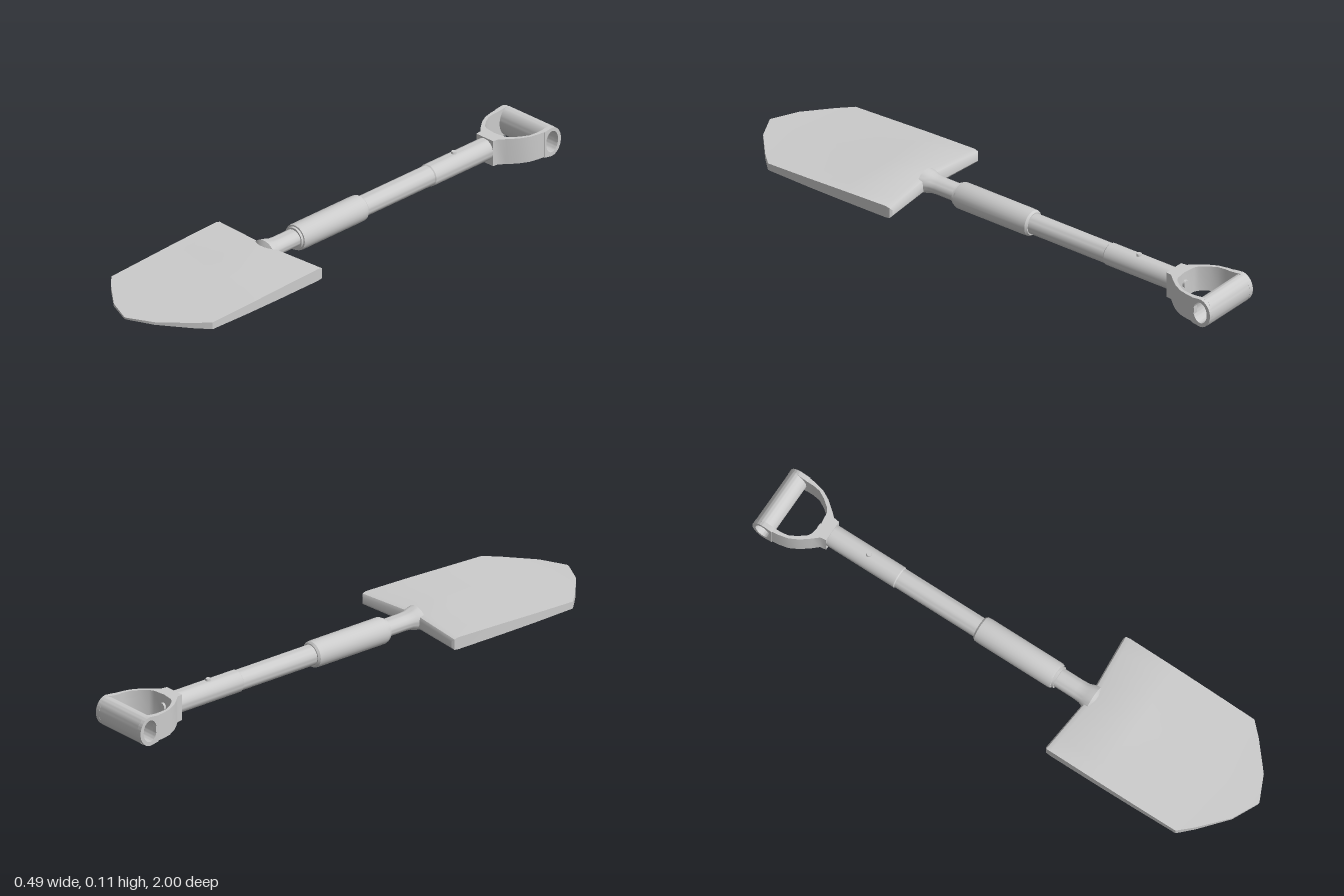
import * as THREE from 'three';
import { toCreasedNormals } from 'three/addons/utils/BufferGeometryUtils.js';

const AXIS = 0.06; // height of the shaft axis
const grey = new THREE.MeshStandardMaterial({ color: 0xcccccc });

function add(group, name, geometry, crease = 0.6) {
  const flat = geometry.index ? geometry.toNonIndexed() : geometry;
  const mesh = new THREE.Mesh(toCreasedNormals(flat, crease), grey);
  mesh.name = name;
  group.add(mesh);
  return mesh;
}

// Round part along z from [z, radius] pairs, z increasing
function turned(profile) {
  const g = new THREE.LatheGeometry(profile.map(([z, r]) => new THREE.Vector2(r, z)), 28);
  g.rotateX(Math.PI / 2);
  g.translate(0, AXIS, 0);
  return g;
}

// Solid wedge blade lofted through cross-sections
function bladeGeometry() {
  // z, half width, top edge y, top middle y, bottom edge y, bottom middle y
  const sections = [
    [0.285, 0.236, 0.066, 0.070, 0.045, 0.045],
    [0.291, 0.245, 0.076, 0.082, 0.037, 0.036],
    [0.308, 0.246, 0.080, 0.088, 0.035, 0.032],
    [0.50, 0.246, 0.074, 0.077, 0.034, 0.022],
    [0.65, 0.245, 0.068, 0.069, 0.034, 0.018],
    [0.82, 0.243, 0.062, 0.063, 0.036, 0.030],
    [0.87, 0.195, 0.061, 0.061, 0.041, 0.037],
    [0.955, 0.098, 0.060, 0.060, 0.050, 0.048],
    [1.0, 0.004, 0.060, 0.060, 0.053, 0.053],
  ];
  const cols = 8, n = 2 * (cols + 1), pos = [], idx = [];
  for (const [z, w, te, tm, be, bm] of sections) {
    for (let j = 0; j < n; j++) {
      const top = j <= cols;
      const u = ((top ? j : n - 1 - j) / cols) * 2 - 1;
      const m = 1 - Math.abs(u);
      const y = top ? te + (tm - te) * m : be + (bm - be) * m;
      pos.push(u * w, y, z + (z < 0.4 ? 0.022 * m : 0));
    }
  }
  for (let i = 0; i < sections.length - 1; i++) {
    for (let j = 0; j < n; j++) {
      const a = i * n + j, b = i * n + (j + 1) % n;
      idx.push(a, a + n, b + n, a, b + n, b);
    }
  }
  // End caps, joined top to bottom
  const last = (sections.length - 1) * n;
  for (let j = 0; j < cols; j++) {
    const a = j, b = j + 1, c = n - 2 - j, d = n - 1 - j;
    idx.push(a, b, c, a, c, d);
    idx.push(last + a, last + c, last + b, last + a, last + d, last + c);
  }
  const g = new THREE.BufferGeometry();
  g.setAttribute('position', new THREE.Float32BufferAttribute(pos, 3));
  g.setIndex(idx);
  return g;
}

// Extrude a (-z, y) shape along x, centred on x
function alongX(shape, width, x) {
  const g = new THREE.ExtrudeGeometry(shape, { depth: width, bevelEnabled: false, curveSegments: 20 });
  g.rotateY(Math.PI / 2);
  g.translate(x - width / 2, 0, 0);
  return g;
}

function gripHole() {
  return new THREE.Path().absellipse(0.957, 0.055, 0.029, 0.04, 0, Math.PI * 2, true);
}

export function createModel() {
  const model = new THREE.Group();
  model.name = 'shovel';

  add(model, 'blade', bladeGeometry());

  // Socket flaring into the blade
  const socket = add(model, 'socket', turned([
    [0.15, 0.036], [0.26, 0.036], [0.285, 0.038], [0.30, 0.044], [0.325, 0.05], [0.35, 0.0],
  ]));
  socket.scale.y = 0.85;
  socket.position.y = AXIS * 0.15 + 0.003;

  // Shaft with collar and upper sleeve
  add(model, 'collar', turned([
    [-0.145, 0.0], [-0.145, 0.041], [-0.138, 0.047], [-0.12, 0.048], [0.165, 0.048],
    [0.172, 0.046], [0.173, 0.041], [0.182, 0.041], [0.183, 0.0],
  ]));
  add(model, 'shaft', turned([[-0.48, 0.037], [-0.13, 0.037]]));
  add(model, 'sleeve', turned([
    [-0.795, 0.0], [-0.795, 0.04], [-0.475, 0.04], [-0.47, 0.036],
  ]));
  const rivet = add(model, 'rivet', new THREE.CylinderGeometry(0.009, 0.011, 0.012, 14));
  rivet.position.set(0, AXIS + 0.041, -0.6);

  // Yoke: forked strap in plan, outer edge then inner edge
  const outer = [[0.04, -0.75], [0.043, -0.772], [0.062, -0.793], [0.088, -0.826],
    [0.106, -0.86], [0.114, -0.895], [0.118, -0.93]];
  const inner = [[0.101, -0.93], [0.101, -0.895], [0.097, -0.868], [0.082, -0.84],
    [0.06, -0.812], [0.045, -0.803], [0, -0.797]];
  const half = [...outer, ...inner];
  const mirrored = half.slice(0, -1).reverse().map(([x, z]) => [-x, z]);
  const plan = new THREE.Shape([...half, ...mirrored].map(([x, z]) => new THREE.Vector2(x, z)));
  const yoke = new THREE.ExtrudeGeometry(plan, { depth: 0.096, bevelEnabled: false });
  yoke.rotateX(Math.PI / 2);
  yoke.translate(0, 0.104, 0);
  add(model, 'yoke', yoke);
  const stud = add(model, 'yokeStud', new THREE.CylinderGeometry(0.014, 0.014, 0.012, 16).rotateX(Math.PI / 2));
  stud.position.set(0, AXIS, -0.801);

  // Hollow D-handle grip with end plates
  const tube = new THREE.Shape().absellipse(0.962, 0.054, 0.037, 0.053, 0, Math.PI * 2);
  tube.holes.push(gripHole());
  add(model, 'grip', alongX(tube, 0.21, 0));
  for (const side of [-1, 1]) {
    const plate = new THREE.Shape();
    plate.moveTo(0.92, 0.006);
    plate.lineTo(0.955, 0);
    plate.absellipse(0.955, 0.054, 0.045, 0.054, -Math.PI / 2, Math.PI / 2);
    plate.lineTo(0.92, 0.104);
    plate.holes.push(gripHole());
    add(model, side > 0 ? 'leftGripEnd' : 'rightGripEnd', alongX(plate, 0.018, side * 0.11));
  }

  return model;
}
